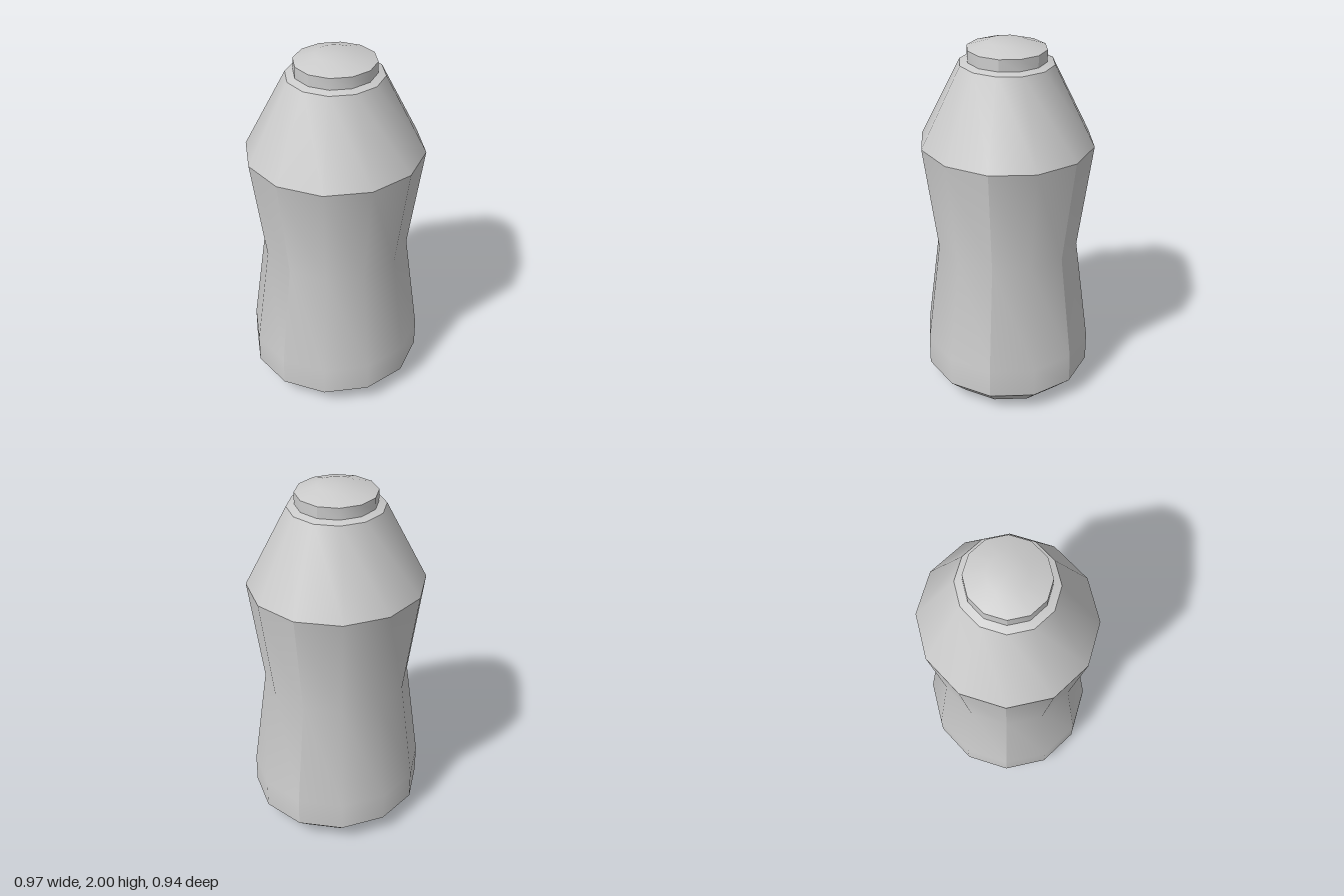
import * as THREE from 'three';
import { mergeVertices, mergeGeometries } from 'three/addons/utils/BufferGeometryUtils.js';

const DEPTH = 0.969; // the bottle is slightly narrower in z than in x
const STEP = Math.PI / 6; // twelve sides

// Turns a [radius, y] profile over some of the twelve sides; smooth within, sharp at its borders
function turned(profile, firstSide = 0, sides = 12) {
  const points = profile.map(([r, y]) => new THREE.Vector2(r, y));
  let geometry = new THREE.LatheGeometry(points, sides, firstSide * STEP, sides * STEP);
  geometry.deleteAttribute('uv');
  geometry.deleteAttribute('normal');
  geometry.scale(1, 1, DEPTH);
  geometry = mergeVertices(geometry, 1e-4);
  geometry.computeVertexNormals();
  return geometry;
}

// Wide smooth front and back, with creased panels on the left and right
function panelled(profile) {
  return mergeGeometries([[-2, 4], [2, 2], [4, 4], [8, 2]].map(([first, n]) => turned(profile, first, n)));
}

export function createModel() {
  const group = new THREE.Group();
  const material = new THREE.MeshStandardMaterial({ color: 0xcccccc });
  const add = (name, geometry) => {
    const mesh = new THREE.Mesh(geometry, material);
    mesh.name = name;
    group.add(mesh);
  };

  // Bottle
  add('bottomFace', turned([[0, 0], [0.37, 0]]));
  add('baseBevel', turned([[0.37, 0], [0.485, 0.11]]));
  add('waistedBody', panelled([[0.485, 0.11], [0.485, 0.275], [0.405, 0.87], [0.485, 1.457]]));
  add('shoulder', turned([[0.485, 1.457], [0.26, 1.89]]));
  add('shoulderRim', turned([[0.26, 1.89], [0.215, 1.903]]));

  // Cap
  add('capSide', panelled([[0.218, 1.9], [0.218, 1.965]]));
  add('capTop', turned([[0.218, 1.965], [0.105, 2], [0, 2]]));
  return group;
}
